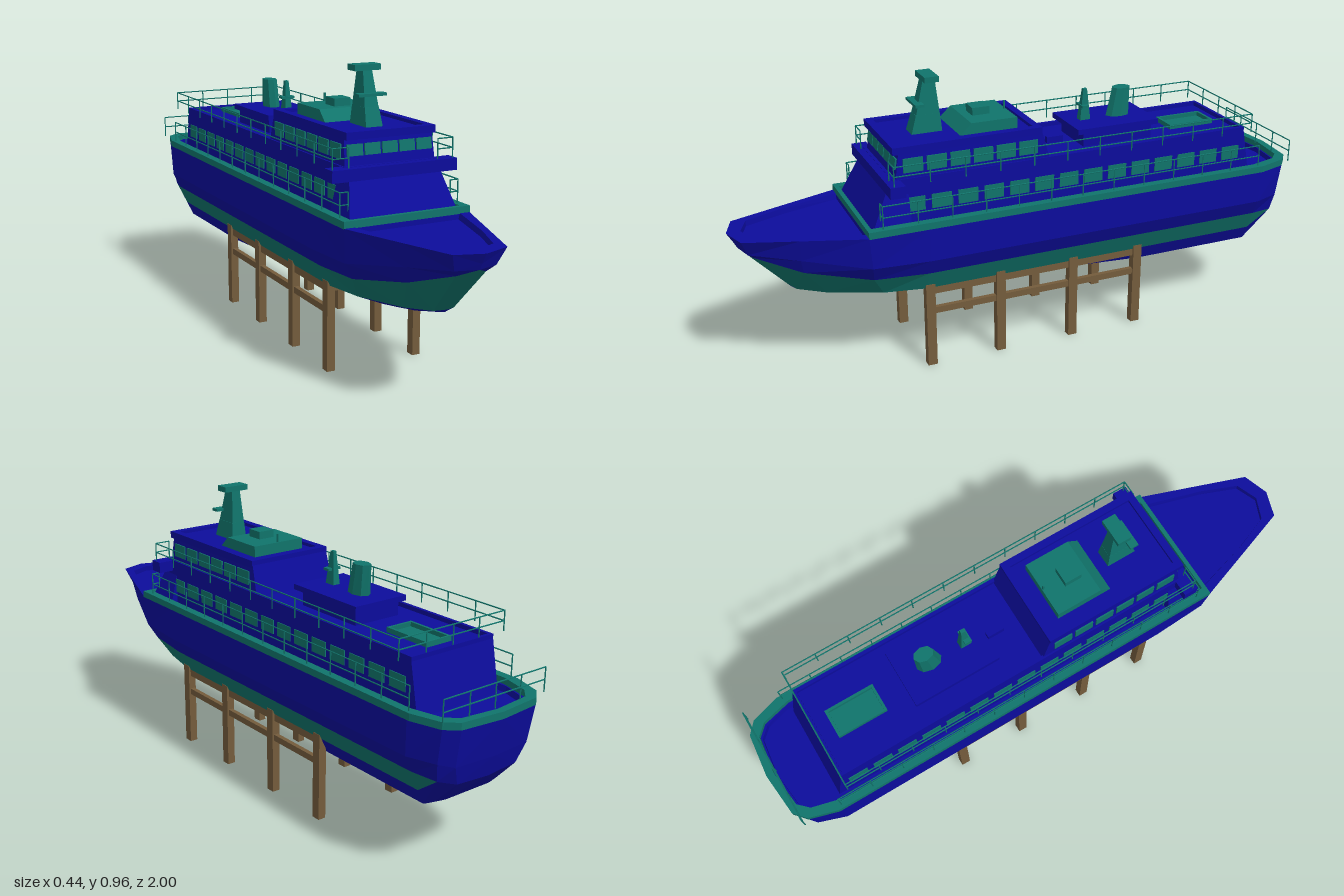
import * as THREE from 'three';

const flat = (color, name, side = THREE.FrontSide) =>
  Object.assign(new THREE.MeshStandardMaterial({ color, flatShading: true, side }), { name });

export function createModel() {
  const ship = new THREE.Group();
  ship.name = 'ship';
  const blue = flat(0x0c0c9c, 'navy blue', THREE.DoubleSide);
  const teal = flat(0x10746b, 'teal');
  const wood = flat(0x745c3c, 'timber');

  function add(name, geometry, material, parent = ship) {
    const mesh = new THREE.Mesh(geometry, material);
    mesh.name = name;
    parent.add(mesh);
    return mesh;
  }
  function group(name) {
    const g = new THREE.Group();
    g.name = name;
    ship.add(g);
    return g;
  }
  // Box given by its limits on each axis
  function box(name, x0, x1, y0, y1, z0, z1, material, parent) {
    const mesh = add(name, new THREE.BoxGeometry(x1 - x0, y1 - y0, z1 - z0), material, parent);
    mesh.position.set((x0 + x1) / 2, (y0 + y1) / 2, (z0 + z1) / 2);
    return mesh;
  }
  // Tapered block; each end is [half width, back z, front z]
  function taper(name, y0, y1, bottom, top, material, parent) {
    const g = new THREE.BoxGeometry(2, 2, 2);
    const p = g.attributes.position;
    for (let i = 0; i < p.count; i++) {
      const up = p.getY(i) > 0;
      const [w, back, front] = up ? top : bottom;
      p.setXYZ(i, p.getX(i) * w, up ? y1 : y0, p.getZ(i) > 0 ? front : back);
    }
    g.computeVertexNormals();
    return add(name, g, material, parent);
  }
  // Raised edge around a flat deck
  function rim(name, w, z0, z1, y0, y1, t, material) {
    const g = group(name);
    for (const s of [-1, 1]) box(name + 'Side', s * (w - t / 2) - t / 2, s * (w - t / 2) + t / 2, y0, y1, z0, z1, material, g);
    box(name + 'Back', -w + t, w - t, y0, y1, z0, z0 + t, material, g);
    box(name + 'Front', -w + t, w - t, y0, y1, z1 - t, z1, material, g);
  }
  // Thin round bar between two points
  function bar(a, b, parent, r = 0.0022) {
    const A = new THREE.Vector3(...a), B = new THREE.Vector3(...b);
    const mesh = add('bar', new THREE.CylinderGeometry(r, r, A.distanceTo(B), 5), teal, parent);
    mesh.position.copy(A).lerp(B, 0.5);
    mesh.quaternion.setFromUnitVectors(new THREE.Vector3(0, 1, 0), B.sub(A).normalize());
  }
  // Railing along [x, z] corners, with posts
  function railing(name, corners, y0, y1, pitch) {
    const g = group(name);
    for (let i = 0; i + 1 < corners.length; i++) {
      const [ax, az] = corners[i], [bx, bz] = corners[i + 1];
      for (const y of [y1, (y0 + y1) / 2]) bar([ax, y, az], [bx, y, bz], g);
      const n = Math.max(1, Math.round(Math.hypot(bx - ax, bz - az) / pitch));
      for (let k = 0; k <= n; k++) {
        const x = ax + (bx - ax) * k / n, z = az + (bz - az) * k / n;
        bar([x, y0, z], [x, y1, z], g);
      }
    }
  }

  // Hull stations, bow to stern: keel, bilge, chine, band top, knuckle, deck edge
  const mid = (z, b, yb) => [[0, .235, z], [b, yb, z], [.165, .287, z], [.195, .355, z], [.22, .41, z], [.22, .524, z]];
  const stations = [
    [[0, .30, .81], [0, .302, .812], [0, .31, .82], [0, .47, .97], [0, .49, .98], [0, .524, 1]],
    [[0, .295, .78], [.015, .296, .79], [.035, .305, .8], [.05, .448, .93], [.07, .47, .95], [.09, .524, .97]],
    [[0, .262, .68], [.03, .272, .69], [.08, .295, .71], [.12, .40, .79], [.135, .45, .8], [.15, .524, .8]],
    [[0, .238, .57], [.05, .25, .54], [.14, .288, .54], [.18, .36, .58], [.212, .415, .59], [.22, .524, .6]],
    mid(.4, .06, .245), mid(0, .1, .24), mid(-.4, .14, .235), mid(-.84, .14, .235),
    [[0, .235, -.85], [.13, .25, -.87], [.175, .35, -.925], [.175, .35, -.925], [.187, .41, -.935], [.19, .524, -.95]],
    [[0, .236, -.855], [.09, .25, -.88], [.12, .335, -.95], [.12, .335, -.95], [.145, .4, -.965], [.15, .524, -.985]],
    [[0, .237, -.86], [0, .25, -.88], [0, .33, -.955], [0, .33, -.955], [0, .4, -.975], [0, .524, -1]],
  ];
  // Bulwark top, its inner face and the recessed deck continue each station
  const full = stations.map(s => {
    const [x, y, z] = s[5], iz = z > .9 ? z - .045 : z < -.9 ? z + .03 : z;
    return [...s, [x * .84, y, iz], [x * .82, .505, iz], [0, .505, iz]];
  });
  function loft(name, rows, material) {
    const pos = [];
    for (const side of [1, -1])
      for (let i = 0; i + 1 < full.length; i++)
        for (const j of rows) {
          const [a, b, c, d] = [full[i][j], full[i + 1][j], full[i + 1][j + 1], full[i][j + 1]];
          const corners = side > 0 ? [a, b, c, a, c, d] : [a, c, b, a, d, c];
          for (const p of corners) pos.push(p[0] * side, p[1], p[2]);
        }
    const g = new THREE.BufferGeometry();
    g.setAttribute('position', new THREE.Float32BufferAttribute(pos, 3));
    g.computeVertexNormals();
    add(name, g, material);
  }
  loft('hullBottom', [0, 1], blue);
  loft('hullBand', [2], teal);
  loft('hullSidesAndDeck', [3, 4, 5, 6, 7], blue);

  // Teal cap around the main deck
  const outline = k => [[.221, -.6], [.221, .85], [.191, .95], [.151, .985], [0, 1], [-.151, .985], [-.191, .95], [-.221, .85], [-.221, -.6]]
    .map(([x, y]) => new THREE.Vector2(x * (1 - k * .13), y > 0 ? y - k * .025 : y + k * .015));
  const cap = new THREE.Shape(outline(0));
  cap.holes.push(new THREE.Path(outline(1)));
  const capGeo = new THREE.ExtrudeGeometry(cap, { depth: .023, bevelEnabled: false });
  capGeo.rotateX(-Math.PI / 2);
  add('deckCap', capGeo, teal).position.y = .522;
  box('deckCapFrontWall', -.19, .19, .505, .523, .587, .599, blue);

  // Lower house with a flared, raked front
  taper('lowerHouse', .505, .668, [.165, -.825, .5], [.165, -.793, .5], blue);
  taper('lowerHouseFront', .505, .66, [.195, .45, .59], [.158, .45, .515], blue);
  rim('boatDeckEdge', .165, -.793, .5, .665, .682, .012, blue);
  box('bridgeWings', -.22, .22, .643, .681, .475, .525, blue);

  // Bridge, roof and roof edge
  taper('bridge', .66, .77, [.16, -.045, .492], [.155, -.015, .475], blue);
  box('bridgeRoof', -.157, .157, .762, .775, -.015, .495, blue);
  rim('roofEdge', .157, -.015, .495, .774, .786, .025, blue);

  // Windows
  const windows = group('windows');
  for (let i = -2; i <= 2; i++) {
    const w = box('frontWindow', i * .061 - .027, i * .061 + .027, .711, .747, .479, .487, teal, windows);
    w.rotation.x = -.15;
  }
  for (const s of [-1, 1]) {
    for (let i = 0; i < 6; i++) {
      const z = .43 - i * .079;
      box('bridgeWindow', s * .157 - .004, s * .157 + .004, .7, .747, z - .033, z + .033, teal, windows);
    }
    for (let i = 0; i < 14; i++) {
      const z = .43 - i * .09;
      box('lowerWindow', s * .165 - .003, s * .165 + .003, .57, .618, z - .034, z + .034, teal, windows);
    }
  }

  // Roof house and antenna
  taper('roofHouse', .774, .812, [.1, .05, .25], [.1, .05, .21], teal);
  box('roofBox', -.03, .03, .81, .838, .12, .18, teal);
  bar([0, .8, .055], [0, .84, .055], ship, .004);

  // Main mast with two crossbars
  taper('mastFoot', .774, .835, [.03, .285, .39], [.025, .29, .372], teal);
  taper('mast', .83, .95, [.025, .29, .372], [.016, .302, .342], teal);
  box('mastTopBar', -.047, .047, .946, .965, .298, .346, teal);
  box('mastCrossbar', -.05, .05, .869, .878, .35, .38, teal);

  // Funnel house, funnel and aft mast
  box('funnelHouse', -.088, .088, .66, .72, -.46, -.2, blue);
  box('funnelHouseRoof', -.103, .103, .718, .736, -.478, -.172, blue);
  const funnel = add('funnel', new THREE.CylinderGeometry(.025, .028, .1, 8), teal);
  funnel.geometry.scale(1, 1, 1.6);
  const fp = funnel.geometry.attributes.position;
  for (let i = 0; i < fp.count; i++) if (fp.getY(i) > 0) fp.setZ(i, fp.getZ(i) * .85 - .012);
  funnel.position.set(0, .785, -.372);
  taper('aftMast', .73, .845, [.014, -.262, -.222], [.006, -.25, -.236], teal);
  box('aftMastCrossbar', -.025, .025, .782, .79, -.25, -.225, teal);
  box('ventBox', -.01, .01, .66, .69, -.16, -.1, blue);

  // Aft pool
  box('poolFloor', -.045, .045, .662, .67, -.73, -.56, teal);
  rim('poolEdge', .05, -.735, -.56, .66, .684, .009, teal);

  // Railings
  railing('boatDeckRailing', [[.157, .51], [.212, .51], [.212, -.79], [-.212, -.79], [-.212, .51], [-.157, .51]], .68, .745, .118);
  for (const s of [-1, 1])
    railing('mainDeckRailing', [[s * .18, .55], [s * .208, .55], [s * .208, -.835]], .543, .62, .118);
  railing('sternRailing', [[.205, -.965], [-.205, -.965]], .543, .62, .1);

  // Timber cradle
  const cradle = group('cradle');
  for (const s of [-1, 1]) {
    for (const z of [.39, .14, -.13, -.38])
      box('cradleLeg', s * .159 - .014, s * .159 + .014, 0, .302, z - .016, z + .016, wood, cradle);
    box('cradleBeam', s * .159 - .008, s * .159 + .008, .19, .212, -.38, .39, wood, cradle);
    const pad = new THREE.Shape([[.07, .262], [.165, .262], [.165, .29], [.14, .285]].map(([x, y]) => new THREE.Vector2(s * x, y)));
    const g = new THREE.ExtrudeGeometry(pad, { depth: .77, bevelEnabled: false });
    add('cradlePad', g, wood, cradle).position.z = -.38;
  }
  return ship;
}
